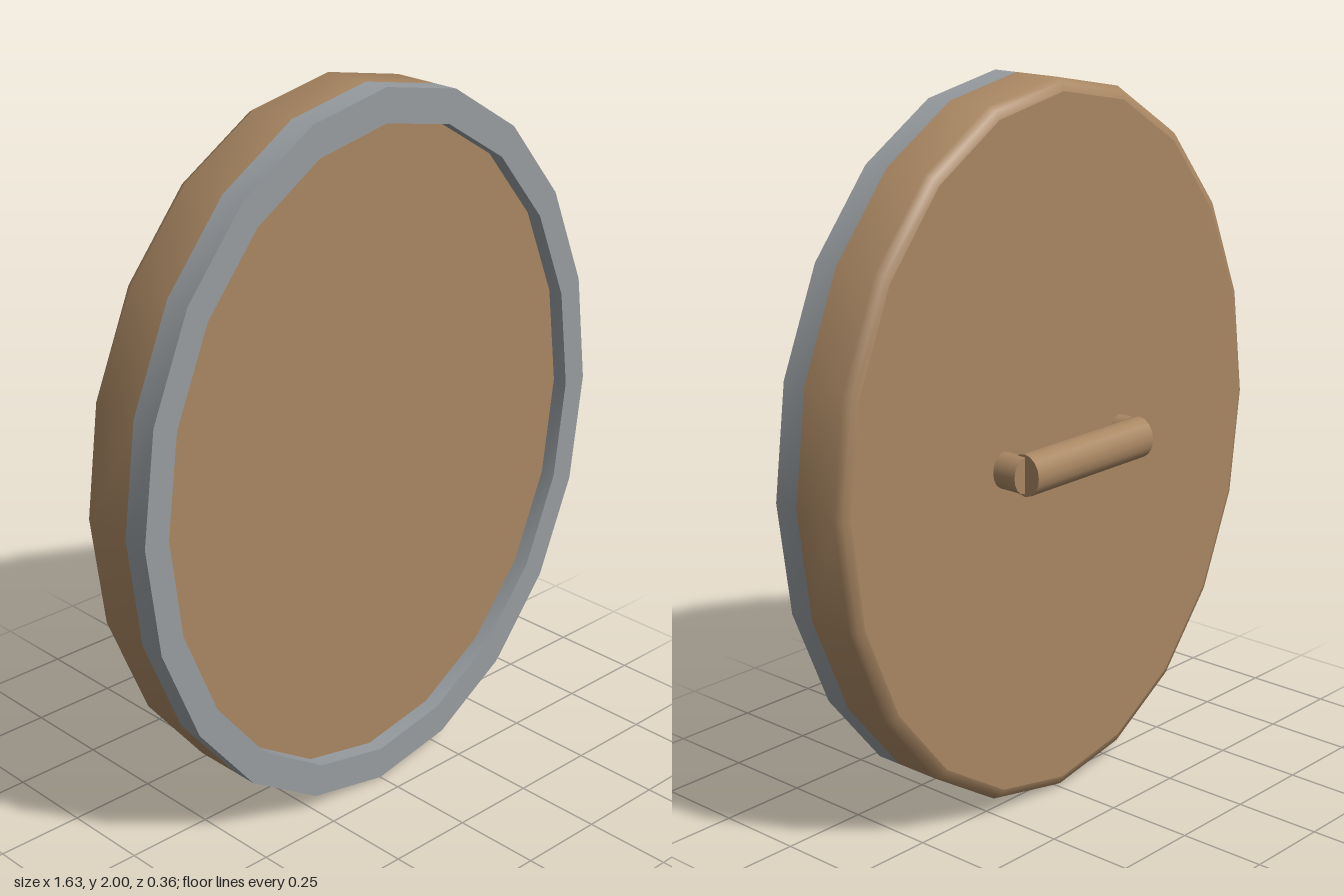
import * as THREE from 'three';
import { toCreasedNormals } from 'three/addons/utils/BufferGeometryUtils.js';

const RX = 0.815, SIDES = 20;

export function createModel() {
  const wood = new THREE.MeshStandardMaterial({ color: 0xa88662 });
  wood.name = 'wood';
  const steel = new THREE.MeshStandardMaterial({ color: 0x969b9f });
  steel.name = 'steel';

  const shield = new THREE.Group();
  shield.name = 'shield';
  shield.position.y = 1;

  const add = (name, geometry, material) => {
    const mesh = new THREE.Mesh(geometry, material);
    mesh.name = name;
    shield.add(mesh);
    return mesh;
  };

  // Oval turned around the z axis; profile points are [radius, z], back to front
  const oval = (name, profile, material) => {
    const geo = new THREE.LatheGeometry(profile.map(([r, z]) => new THREE.Vector2(r, z)), SIDES);
    geo.rotateX(Math.PI / 2);
    geo.scale(RX, 1, 1);
    return add(name, toCreasedNormals(geo, 0.85), material);
  };

  // Wooden board: flat back, rounded back edge, recessed front panel
  oval('boardBack', [[0, -0.06], [0.965, -0.06]], wood);
  oval('boardEdge', [[0.965, -0.06], [0.988, -0.052], [1, -0.03], [1, 0.105]], wood);
  oval('frontPanel', [[0.915, 0.135], [0, 0.135]], wood);

  // Metal rim standing proud of the front panel
  oval('rim', [[1, 0.105], [1, 0.18], [0.907, 0.18], [0.907, 0.13]], steel);

  // Grip on the back: two posts and a crossbar
  for (const side of [-1, 1]) {
    const post = new THREE.CylinderGeometry(0.05, 0.05, 0.085, 16);
    post.rotateX(Math.PI / 2);
    post.scale(0.82, 1, 1);
    add(side > 0 ? 'leftGripPost' : 'rightGripPost', post, wood).position.set(side * 0.235, 0, -0.0925);
  }
  const bar = new THREE.CylinderGeometry(0.05, 0.05, 0.47, 16);
  bar.rotateZ(Math.PI / 2);
  bar.scale(1, 1.16, 1);
  add('gripBar', bar, wood).position.z = -0.133;

  const model = new THREE.Group();
  model.add(shield);
  return model;
}
